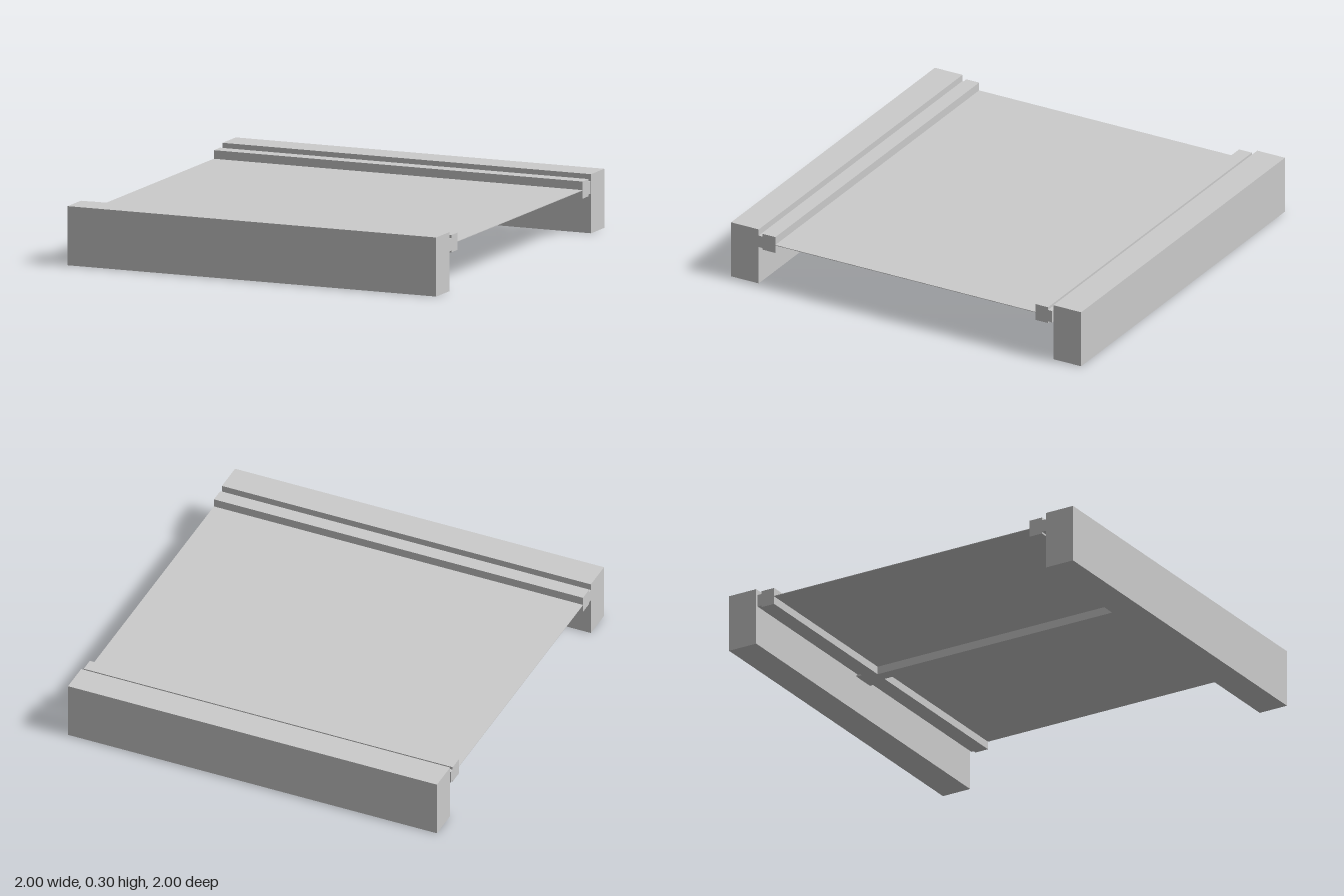
import * as THREE from 'three';

const material = new THREE.MeshStandardMaterial({ color: 0xcccccc, flatShading: true });

// Box given by its extents; each pair is [min, max]
function block(name, [x0, x1], [y0, y1], [z0, z1]) {
  const geometry = new THREE.BoxGeometry(x1 - x0, y1 - y0, z1 - z0);
  geometry.translate((x0 + x1) / 2, (y0 + y1) / 2, (z0 + z1) / 2);
  const mesh = new THREE.Mesh(geometry, material);
  mesh.name = name;
  return mesh;
}

export function createModel() {
  const model = new THREE.Group();
  model.name = 'slidingPanel';
  const full = [-1, 1];

  // The panel frame sits against the front beam and leaves a narrow gap at the back
  const sides = [
    { name: 'front', sign: 1, inner: 0.747, step: 0.82, outer: 0.842 },
    { name: 'back', sign: -1, inner: 0.738, step: 0.811, outer: 0.834 },
  ];
  for (const { name, sign, inner, step, outer } of sides) {
    const span = (a, b) => (sign > 0 ? [a, b] : [-b, -a]);
    const side = new THREE.Group();
    side.name = name + 'Side';
    side.add(
      block(name + 'Beam', full, [0, 0.297], span(0.842, 1)),
      block(name + 'Rail', full, [0.191, 0.278], span(inner, step)),
      // Narrow tongue on the outer side of the rail
      block(name + 'Tongue', full, [0.2, 0.263], span(step, outer)),
      // Small tab under the tongue, reaching to the beam
      block(name + 'Tab', [-0.063, 0.063], [0.191, 0.2], span(step, 0.842)),
    );
    model.add(side);
  }

  // Thin panel between the rails, stiffened by one rib underneath
  model.add(
    block('panel', full, [0.232, 0.235], [-0.738, 0.747]),
    block('centreRib', [-0.032, 0.032], [0.191, 0.232], [-0.738, 0.747]),
  );
  return model;
}
